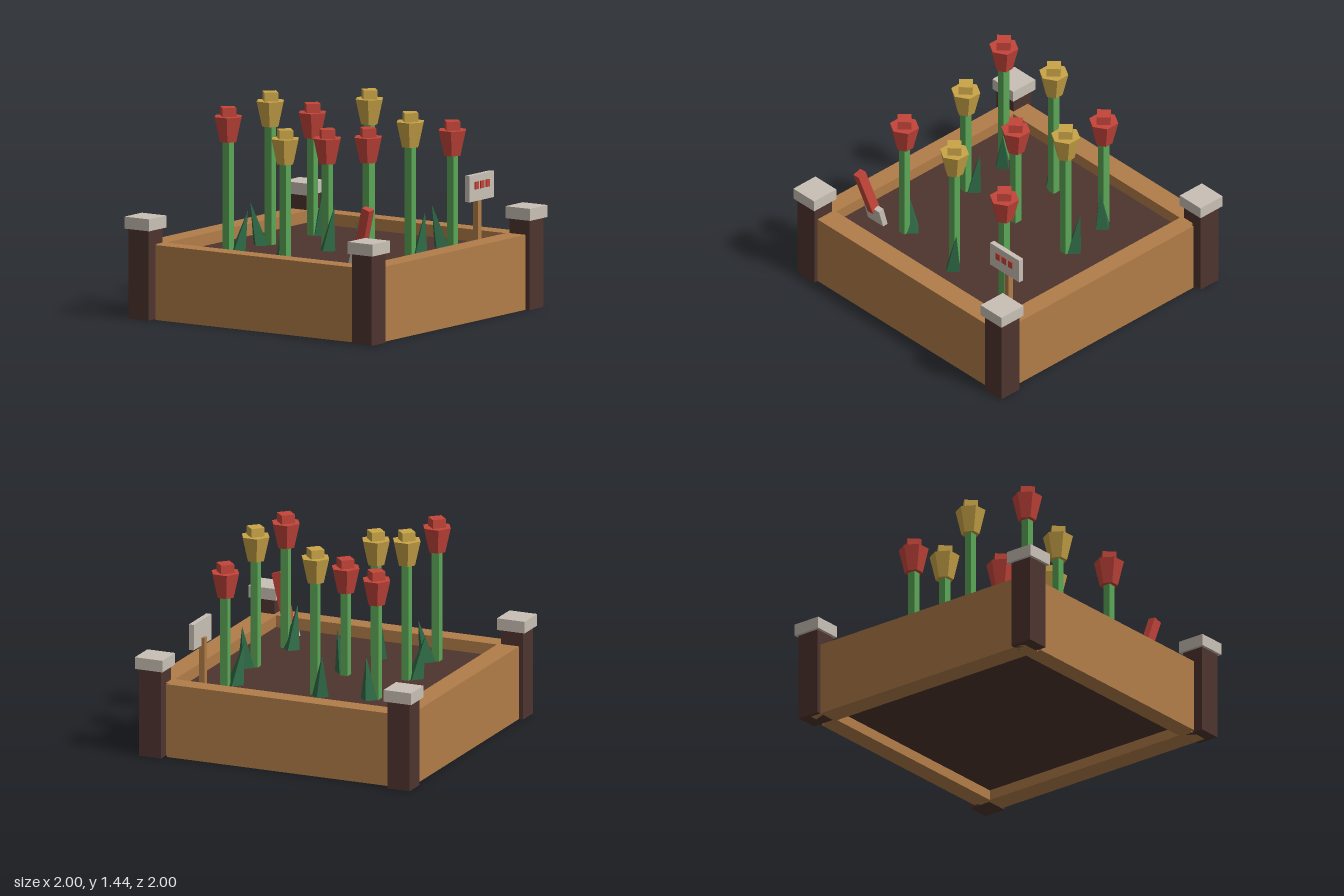
import * as THREE from 'three';

const mat = (name, color) => {
  const m = new THREE.MeshStandardMaterial({ color });
  m.name = name;
  return m;
};

export function createModel() {
  const wood = mat('wood', 0xb27d49), darkBrown = mat('darkBrown', 0x4e342e);
  const stone = mat('stone', 0xc9c0b5), red = mat('red', 0xc4453a);
  const yellow = mat('yellow', 0xcaa548), stemGreen = mat('stemGreen', 0x5ba657);
  const leafGreen = mat('leafGreen', 0x2f6b47);
  const model = new THREE.Group();
  model.name = 'flowerBed';

  const add = (parent, name, geometry, material, x = 0, y = 0, z = 0) => {
    const mesh = new THREE.Mesh(geometry, material);
    mesh.name = name;
    mesh.position.set(x, y, z);
    parent.add(mesh);
    return mesh;
  };
  const box = (parent, name, material, w, h, d, x, y, z) =>
    add(parent, name, new THREE.BoxGeometry(w, h, d), material, x, y, z);
  // Faceted geometry, so every side is flat
  const faceted = (geometry) => {
    const g = geometry.toNonIndexed();
    g.computeVertexNormals();
    return g;
  };

  // Planter boards, corner posts and caps
  for (const s of [-1, 1]) {
    box(model, s > 0 ? 'frontBoard' : 'backBoard', wood, 1.8, 0.5, 0.15, 0, 0.25, s * 0.875);
    box(model, s > 0 ? 'leftBoard' : 'rightBoard', wood, 0.13, 0.5, 1.6, s * 0.865, 0.25, 0);
    for (const t of [-1, 1]) {
      box(model, 'cornerPost', darkBrown, 0.16, 0.6, 0.16, s * 0.9, 0.3, t * 0.9);
      box(model, 'postCap', stone, 0.2, 0.08, 0.2, s * 0.9, 0.64, t * 0.9);
    }
  }
  const soilTop = 0.42;
  box(model, 'soil', darkBrown, 1.6, 0.35, 1.6, 0, soilTop - 0.175, 0);

  // Leaf: four-sided cone sheared from its base offset to its tip offset
  const leafGeometry = ([bx, bz], [tx, tz]) => {
    const h = 0.29;
    const g = new THREE.ConeGeometry(0.06, h, 4).translate(0, h / 2, 0);
    const p = g.attributes.position;
    for (let i = 0; i < p.count; i++) {
      const k = p.getY(i) / h;
      p.setX(i, p.getX(i) + bx + (tx - bx) * k);
      p.setZ(i, p.getZ(i) + bz + (tz - bz) * k);
    }
    return faceted(g);
  };

  const cupGeometry = faceted(new THREE.CylinderGeometry(0.1, 0.06, 0.17, 6));
  const tipGeometry = faceted(new THREE.CylinderGeometry(0.065, 0.065, 0.07, 4));

  // Flowers: x, z, top height, colour, leaf base offset, leaf tip offset
  const flowers = [
    [-0.55, -0.48, 1.40, red, [0.04, 0.05], [0.09, 0.095]],
    [-0.07, -0.48, 1.44, yellow, [-0.05, -0.04], [-0.098, -0.093]],
    [0.41, -0.48, 1.30, red, [0.03, 0.04], [0.03, 0.06]],
    [-0.48, -0.07, 1.28, yellow, [0.04, -0.04], [0.068, -0.065]],
    [0, -0.07, 1.22, red, [-0.05, 0.04], [-0.02, 0.07]],
    [0.48, -0.07, 1.42, yellow, [0.03, -0.05], [0.06, -0.075]],
    [-0.41, 0.55, 1.34, red, [0.02, -0.05], [-0.045, -0.065]],
    [0.07, 0.55, 1.38, yellow, [0.04, 0.05], [0.083, 0.06]],
    [0.55, 0.55, 1.26, red, [-0.05, -0.05], [-0.11, -0.09]],
  ];
  for (const [x, z, top, petal, leafBase, leafTip] of flowers) {
    const flower = new THREE.Group();
    flower.name = 'flower';
    flower.position.set(x, 0, z);
    model.add(flower);
    const stemTop = top - 0.2;
    box(flower, 'stem', stemGreen, 0.053, stemTop - soilTop, 0.053, 0, (stemTop + soilTop) / 2, 0);
    add(flower, 'flowerCup', cupGeometry, petal, 0, top - 0.145, 0);
    add(flower, 'flowerTip', tipGeometry, petal, 0, top - 0.035, 0);
    add(flower, 'leaf', leafGeometry(leafBase, leafTip), leafGreen, 0, soilTop, 0);
  }

  // Trowel stuck in the soil, leaning forward
  const trowel = new THREE.Group();
  trowel.name = 'trowel';
  trowel.position.set(-0.62, 0.54, 0.62);
  model.add(trowel);
  const blade = box(trowel, 'trowelBlade', stone, 0.145, 0.16, 0.04, 0, -0.06, -0.01);
  blade.rotation.x = 0.27;
  const handle = box(trowel, 'trowelHandle', red, 0.055, 0.34, 0.065, -0.02, 0.145, 0.055);
  handle.rotation.set(0.29, 0, 0.11);

  // Sign on a small stake
  const sign = new THREE.Group();
  sign.name = 'sign';
  sign.position.set(0.695, 0, 0.666);
  model.add(sign);
  box(sign, 'signStake', wood, 0.04, 0.36, 0.04, 0, 0.6, -0.02);
  box(sign, 'signBoard', stone, 0.28, 0.175, 0.036, 0, 0.813, 0);
  for (const i of [-1, 0, 1]) {
    box(sign, 'signMark', red, 0.04, 0.05, 0.009, i * 0.06, 0.83, 0.0215);
  }

  return model;
}
